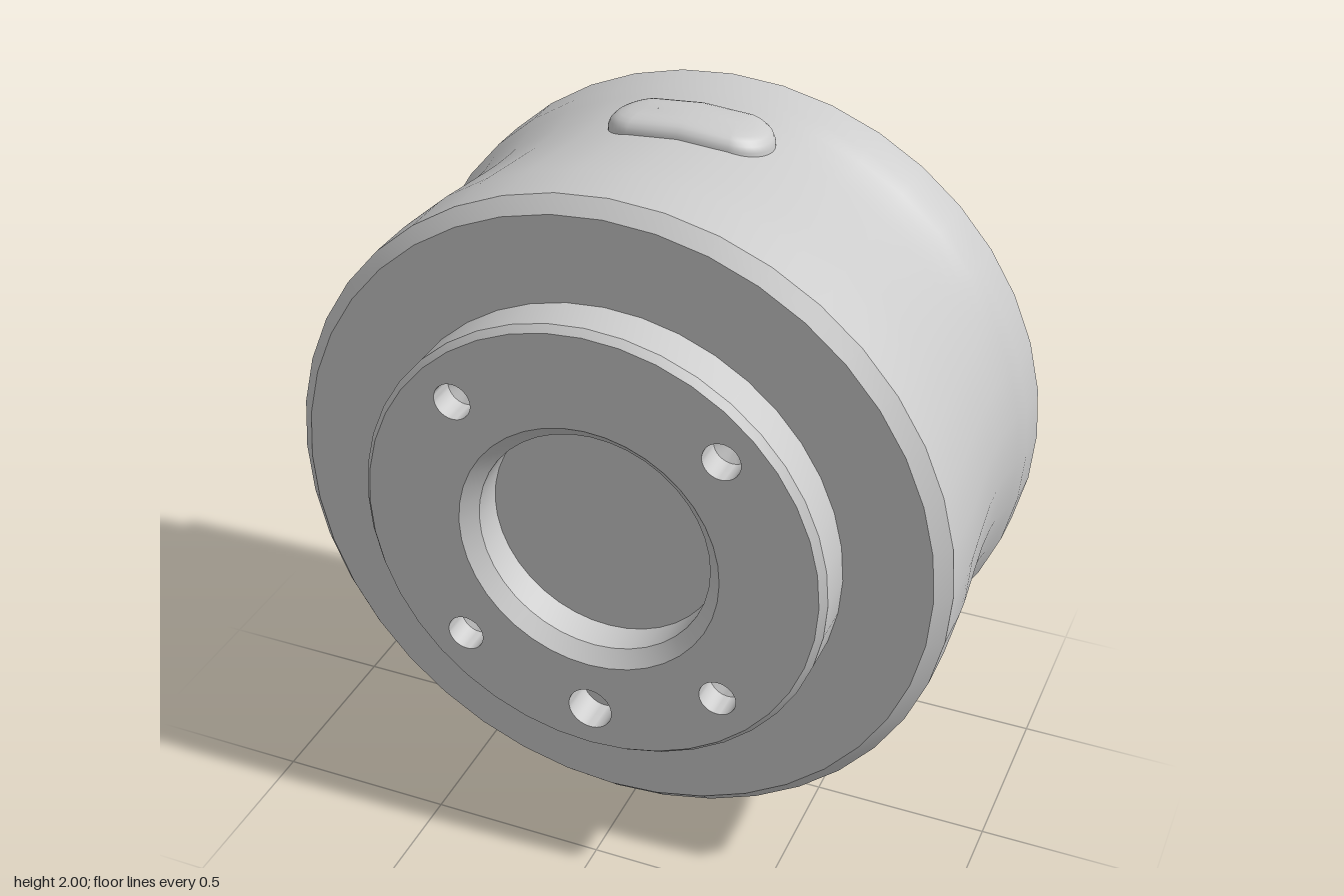
import * as THREE from 'three';
import { toCreasedNormals } from 'three/addons/utils/BufferGeometryUtils.js';

const SEGMENTS = 40;
const CENTRE_Y = 1.055;
const FRONT_Z = 0.52;
const material = new THREE.MeshStandardMaterial({ color: 0xcccccc });

// Revolves [radius, height] pairs about y.
function turned(profile, segments = SEGMENTS) {
  return new THREE.LatheGeometry(profile.map(([r, h]) => new THREE.Vector2(r, h)), segments);
}

function part(name, geometry, crease = 0.4) {
  const mesh = new THREE.Mesh(toCreasedNormals(geometry, crease), material);
  mesh.name = name;
  return mesh;
}

// Turned part whose axis runs front to back.
function axial(name, profile, x = 0, y = 0) {
  const mesh = part(name, turned(profile).rotateX(Math.PI / 2));
  mesh.position.set(x, y, 0);
  return mesh;
}

function circle(path, x, y, r) {
  return path.absarc(x, y, r, 0, Math.PI * 2, false);
}

export function createModel() {
  const model = new THREE.Group();
  model.name = 'roundHousing';
  const housing = new THREE.Group();
  housing.name = 'housing';
  housing.position.y = CENTRE_Y;
  model.add(housing);

  // Waisted drum with stepped back plate and chamfered front edge
  housing.add(axial('drum', [
    [0, -0.52], [0.855, -0.52], [0.855, -0.49], [0.935, -0.49], [0.935, -0.37],
    [0.922, -0.33], [0.912, -0.28], [0.906, -0.235], [0.905, -0.19], [0.908, -0.1],
    [0.917, 0], [0.927, 0.1], [0.933, 0.16], [0.935, 0.2], [0.935, 0.345],
    [0.895, 0.385], [0, 0.385],
  ]));

  // Raised front flange
  housing.add(axial('flangeRim', [[0.655, 0.38], [0.655, 0.5], [0.638, FRONT_Z]]));
  housing.add(axial('boreWall', [[0.37, FRONT_Z], [0.33, 0.48], [0.33, 0.38]]));

  // Flange face, pierced by the bore, four screw holes and a locating hole
  const face = circle(new THREE.Shape(), 0, 0, 0.638);
  const pierce = (x, y, r) => face.holes.push(circle(new THREE.Path(), x, y, r));
  pierce(0, 0, 0.37);
  for (const x of [-0.37, 0.37]) {
    for (const y of [-0.37, 0.37]) {
      pierce(x, y, 0.052);
      housing.add(axial('screwHole', [[0.052, FRONT_Z], [0.052, 0.44], [0, 0.405]], x, y));
    }
  }
  pierce(0, -0.52, 0.063);
  housing.add(axial('locatingHole', [[0.063, FRONT_Z], [0.063, 0.42], [0, 0.42]], 0, -0.52));
  const flangeFace = part('flangeFace', new THREE.ShapeGeometry(face, SEGMENTS / 2));
  flangeFace.position.z = FRONT_Z;
  housing.add(flangeFace);

  // Oblong top button: a round cap stretched sideways and bent over the drum
  const cap = turned([
    [0.103, -0.08], [0.103, -0.032], [0.097, -0.018], [0.085, -0.008],
    [0.07, -0.003], [0.045, 0], [0.00001, 0],
  ]);
  const pos = cap.attributes.position;
  for (let i = 0; i < pos.count; i++) {
    let x = pos.getX(i);
    if (Math.abs(x) > 1e-9) x += Math.sign(x) * 0.127;
    pos.setXY(i, x, pos.getY(i) - x * x / 1.88);
  }
  const button = part('topButton', cap, 0.8);
  button.position.set(0, 2, -0.19);
  model.add(button);

  // Rounded pin underneath
  const pinProfile = [[0, 0]];
  for (let i = 0; i <= 6; i++) {
    const a = (i / 6) * Math.PI / 2;
    pinProfile.push([0.1 + 0.045 * Math.sin(a), 0.045 - 0.045 * Math.cos(a)]);
  }
  pinProfile.push([0.145, 0.2]);
  const pin = part('bottomPin', turned(pinProfile, 32), 0.5);
  pin.position.z = -0.195;
  model.add(pin);

  return model;
}
